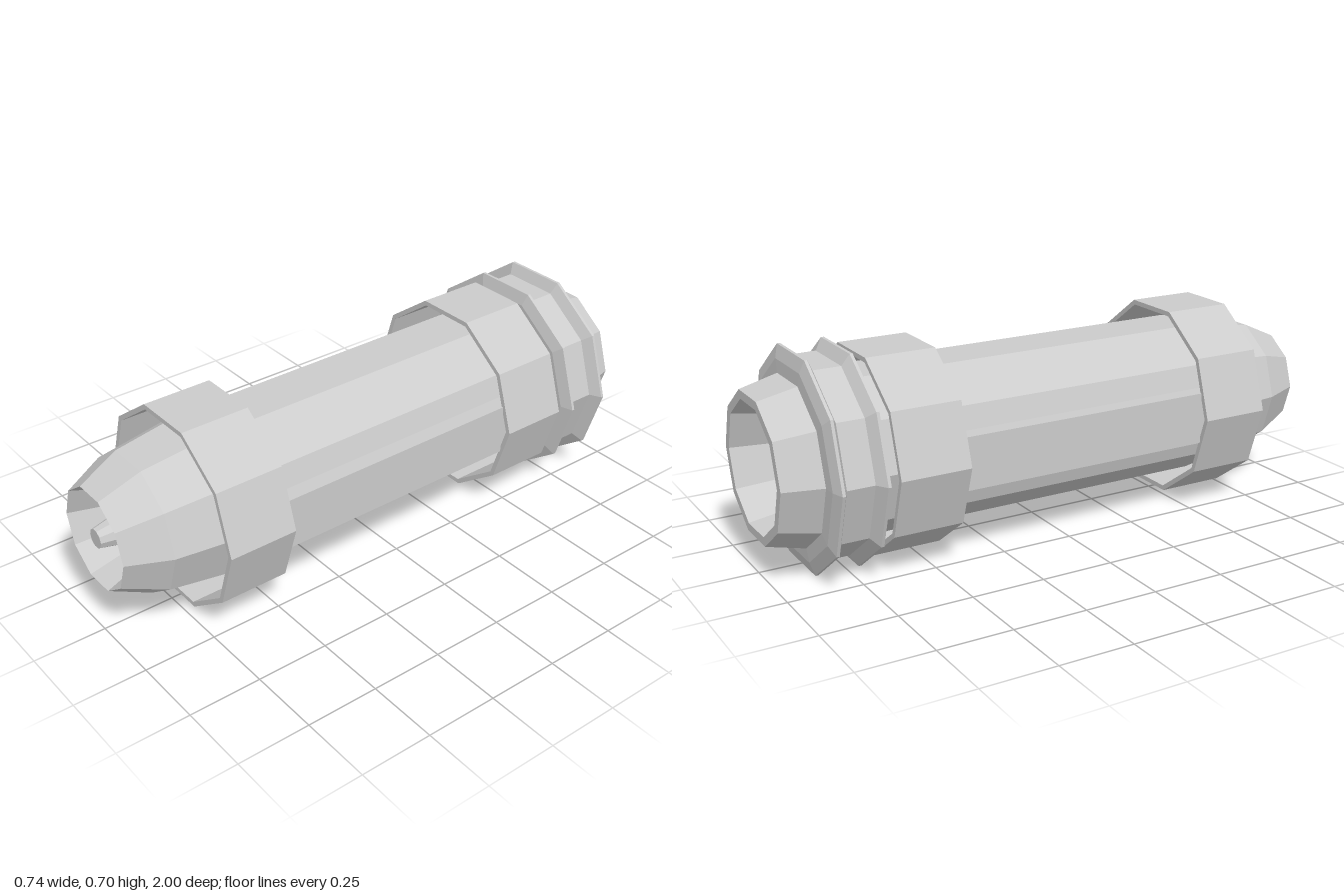
import * as THREE from 'three';

const SIDES = 10;
const AXIS_Y = 0.354;

const material = new THREE.MeshStandardMaterial({ color: 0xcccccc, flatShading: true });

// Ten-sided solid turned around the z axis from [radius, z] points, outside running from back to front
function turned(name, profile) {
  const points = profile.map(([r, z]) => new THREE.Vector2(r, z));
  const lathe = new THREE.LatheGeometry(points, SIDES, Math.PI / 2);
  lathe.rotateX(Math.PI / 2);
  const geometry = lathe.toNonIndexed();
  geometry.computeVertexNormals();
  const mesh = new THREE.Mesh(geometry, material);
  mesh.name = name;
  return mesh;
}

export function createModel() {
  const model = new THREE.Group();
  model.name = 'flangedTube';
  const assembly = new THREE.Group();
  assembly.name = 'assembly';
  assembly.position.y = AXIS_Y;
  model.add(assembly);

  // Main barrel: rear socket, tail cone, double flange, tube, nose, front funnel and centre spike
  assembly.add(turned('barrel', [
    [0, -0.7], [0.16, -0.7], [0.217, -1], [0.247, -1], [0.279, -0.87],
    [0.325, -0.868], [0.37, -0.855], [0.37, -0.845], [0.33, -0.825],
    [0.33, -0.732], [0.37, -0.708], [0.37, -0.698], [0.325, -0.685], [0.279, -0.685],
    [0.279, 0.6], [0.241, 0.86], [0.175, 1],
    [0.107, 0.8], [0.075, 0.8], [0.033, 0.995], [0, 0.995],
  ]));

  // Thin hollow bands standing clear of the barrel
  for (const [name, back, front] of [['frontBand', 0.49, 0.73], ['rearBand', -0.655, -0.415]]) {
    assembly.add(turned(name, [
      [0.33, back], [0.347, back], [0.347, front], [0.33, front], [0.33, back],
    ]));
  }

  // Side rails that carry the bands
  for (const [name, side] of [['leftRail', 1], ['rightRail', -1]]) {
    const rail = new THREE.Mesh(new THREE.BoxGeometry(0.11, 0.178, 1.26), material);
    rail.name = name;
    rail.position.set(side * 0.253, 0, 0.03);
    assembly.add(rail);
  }

  return model;
}
